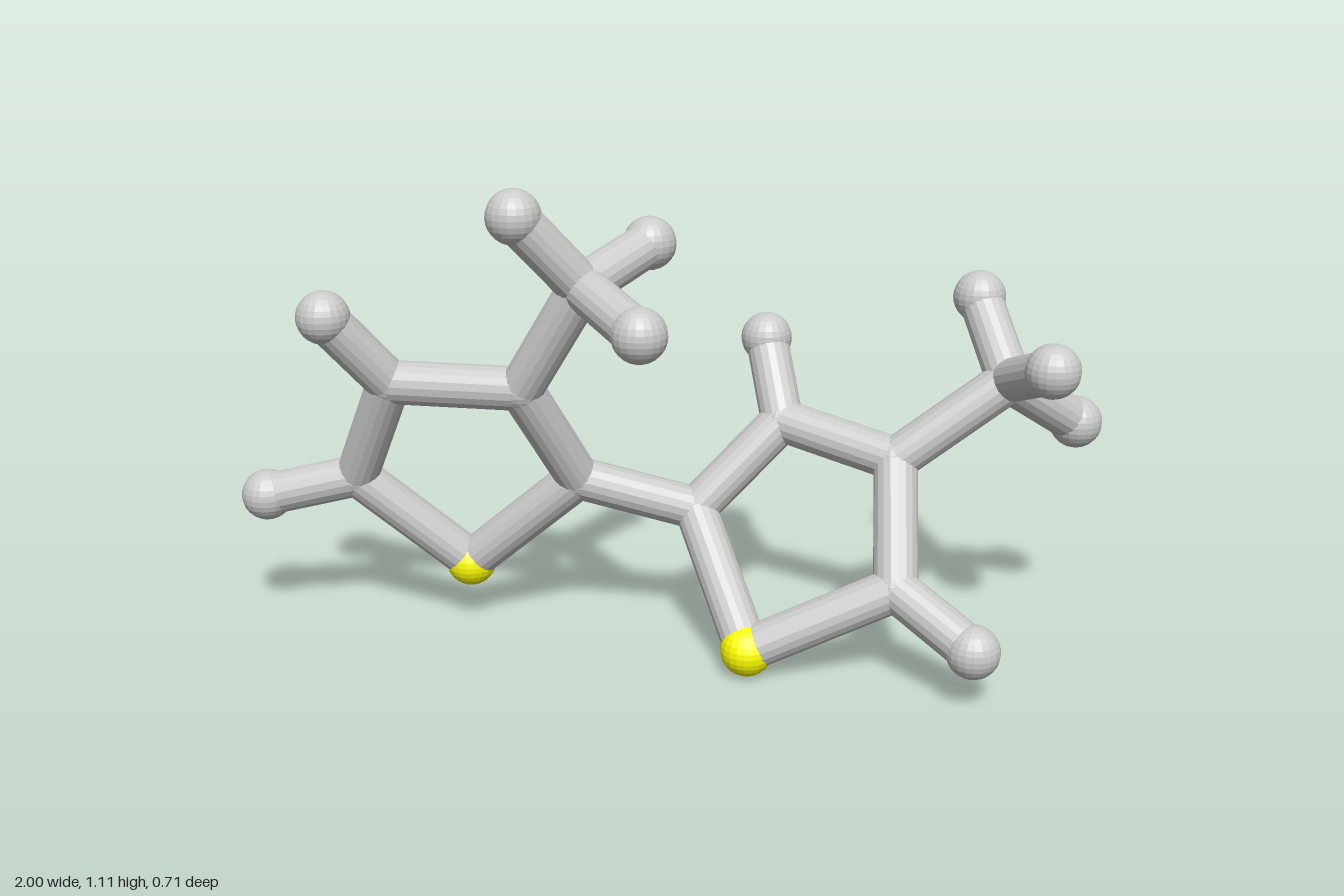
import * as THREE from 'three';

const BOND_R = 0.05;
const grey = new THREE.MeshStandardMaterial({ color: 0xcccccc, flatShading: true });
const yellow = new THREE.MeshStandardMaterial({ color: 0xffff00, flatShading: true });

// Atom centres, by kind
const carbons = {
  a2: [-0.2, 0.39, -0.06], a3: [-0.305, 0.64, 0.065], a4: [-0.61, 0.64, 0.05], a5: [-0.725, 0.38, -0.04],
  aMethyl: [-0.155, 0.89, 0.12],
  b2: [0.07, 0.31, -0.105], b3: [0.265, 0.51, -0.18], b4: [0.53, 0.465, -0.065], b5: [0.54, 0.22, 0.11],
  bMethyl: [0.775, 0.65, -0.1],
};
const sulfurs = { aS: [-0.473, 0.15, -0.107], bS: [0.212, 0.062, 0.127] };
const hydrogens = {
  a5H: [-0.94, 0.33, -0.02], a4H: [-0.727, 0.808, 0.135],
  aMethylH1: [-0.285, 1.053, 0.194], aMethylH2: [-0.007, 0.833, 0.294], aMethylH3: [-0.03, 0.953, -0.05],
  b3H: [0.218, 0.68, -0.295], b5H: [0.708, 0.132, 0.226],
  bMethylH1: [0.708, 0.808, -0.238], bMethylH2: [0.85, 0.728, 0.088], bMethylH3: [0.94, 0.527, -0.203],
};

// Pairs of joined atoms
const bonds = [
  'aS a2', 'a2 a3', 'a3 a4', 'a4 a5', 'a5 aS', // left ring
  'bS b2', 'b2 b3', 'b3 b4', 'b4 b5', 'b5 bS', // right ring
  'a2 b2', 'a3 aMethyl', 'b4 bMethyl', // link and branches
  'a5 a5H', 'a4 a4H', 'b3 b3H', 'b5 b5H',
  ...[1, 2, 3].flatMap((i) => [`aMethyl aMethylH${i}`, `bMethyl bMethylH${i}`]),
];

export function createModel() {
  const model = new THREE.Group();
  model.name = 'molecule';
  const centre = {};

  const addAtoms = (table, name, radius, material) => {
    const geometry = new THREE.SphereGeometry(radius, 20, 14);
    for (const [key, p] of Object.entries(table)) {
      centre[key] = new THREE.Vector3(...p);
      const atom = new THREE.Mesh(geometry, material);
      atom.name = name;
      atom.position.copy(centre[key]);
      model.add(atom);
    }
  };
  addAtoms(carbons, 'carbonAtom', 0.051, grey);
  addAtoms(sulfurs, 'sulfurAtom', 0.06, yellow);
  addAtoms(hydrogens, 'hydrogenAtom', 0.06, grey);

  // Rods between atom centres
  const up = new THREE.Vector3(0, 1, 0);
  for (const pair of bonds) {
    const [from, to] = pair.split(' ').map((key) => centre[key]);
    const along = to.clone().sub(from);
    const bond = new THREE.Mesh(new THREE.CylinderGeometry(BOND_R, BOND_R, along.length(), 18), grey);
    bond.name = 'bond';
    bond.position.copy(from).add(to).multiplyScalar(0.5);
    bond.quaternion.setFromUnitVectors(up, along.normalize());
    model.add(bond);
  }
  return model;
}
